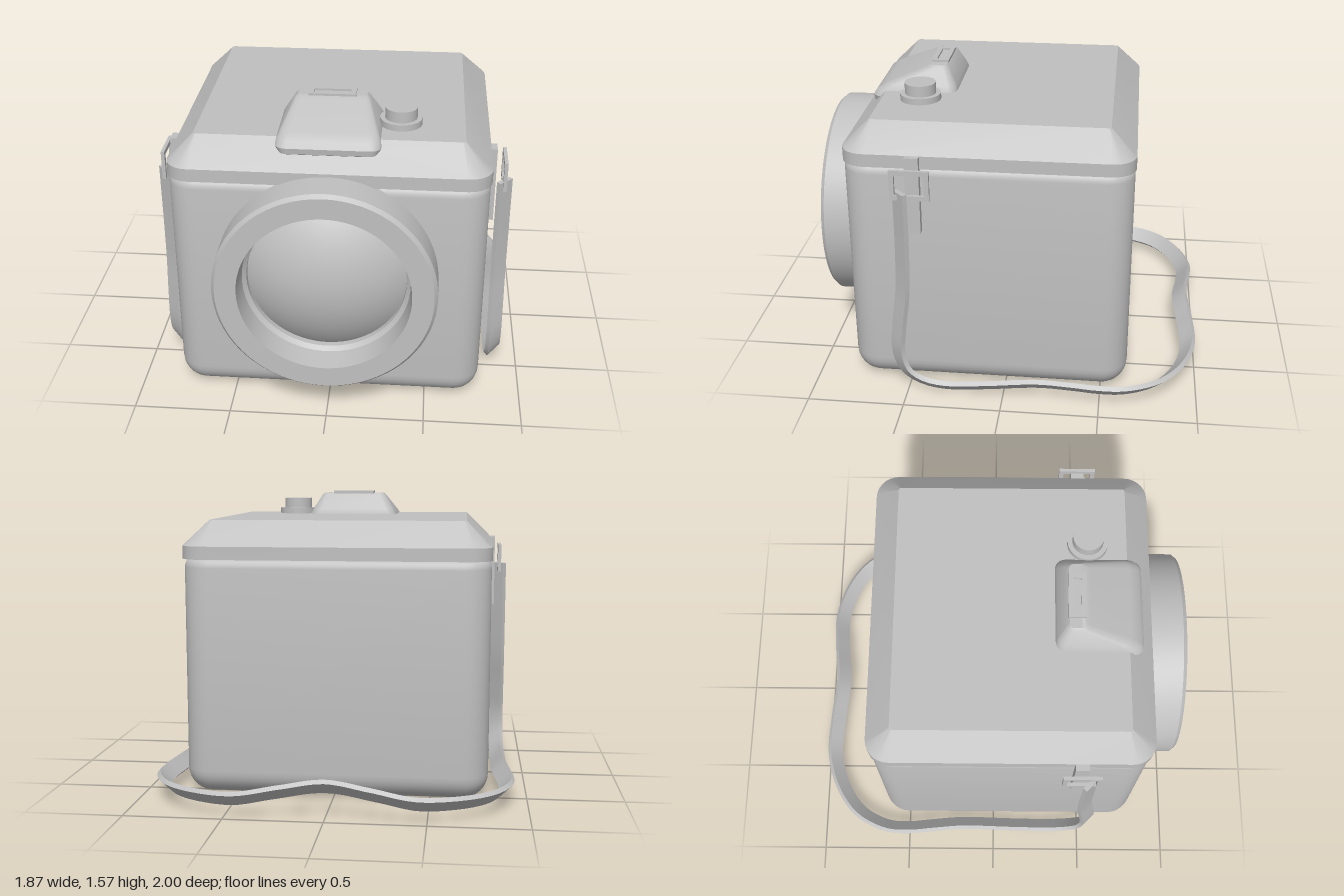
import * as THREE from 'three';
import { toCreasedNormals } from 'three/addons/utils/BufferGeometryUtils.js';

const grey = new THREE.MeshStandardMaterial({ color: 0xc0c0c0 });
grey.name = 'plain grey';

function add(parent, name, geometry, x = 0, y = 0, z = 0) {
  const mesh = new THREE.Mesh(geometry, grey);
  mesh.name = name;
  mesh.position.set(x, y, z);
  parent.add(mesh);
  return mesh;
}

// Closed solid through rounded rectangles, each [y, x0, x1, z0, z1, radius]
function loft(rings, crease = 0.5) {
  const seg = 7, n = 4 * (seg + 1), pos = [], idx = [];
  for (const [y, x0, x1, z0, z1, r] of rings) {
    const corners = [[x1 - r, z1 - r], [x0 + r, z1 - r], [x0 + r, z0 + r], [x1 - r, z0 + r]];
    corners.forEach(([cx, cz], q) => {
      for (let i = 0; i <= seg; i++) {
        const a = (q + i / seg) * Math.PI / 2;
        pos.push(cx + r * Math.cos(a), y, cz + r * Math.sin(a));
      }
    });
  }
  const last = (rings.length - 1) * n;
  for (let k = 0; k < last; k += n) {
    for (let i = 0; i < n; i++) {
      const a = k + i, b = k + (i + 1) % n;
      idx.push(a, a + n, b, b, a + n, b + n);
    }
  }
  for (let i = 1; i < n - 1; i++) {
    idx.push(0, i, i + 1, last, last + i + 1, last + i);
  }
  const g = new THREE.BufferGeometry();
  g.setAttribute('position', new THREE.Float32BufferAttribute(pos, 3));
  g.setIndex(idx);
  return toCreasedNormals(g, crease);
}

// Flat rectangular frame, extruded along z
function frame(w, h, bar, depth) {
  const rect = (path, a, b) => path.moveTo(-a, -b).lineTo(a, -b).lineTo(a, b).lineTo(-a, b).closePath();
  const shape = rect(new THREE.Shape(), w / 2, h / 2);
  shape.holes.push(rect(new THREE.Path(), w / 2 - bar, h / 2 - bar));
  return new THREE.ExtrudeGeometry(shape, { depth, bevelEnabled: false }).translate(0, 0, -depth / 2);
}

// Flat band following a path, leaning 45 degrees
function strapGeometry(curve, width, thick, steps) {
  const rows = [];
  for (let i = 0; i <= steps; i++) {
    const c = curve.getPointAt(i / steps), t = curve.getTangentAt(i / steps);
    const out = new THREE.Vector3(-t.z - t.y, 0, t.x);
    out.addScaledVector(t, -out.dot(t)).normalize();
    const under = new THREE.Vector3().crossVectors(t, out);
    const b = out.clone().sub(under).multiplyScalar(width / 2 / Math.SQRT2);
    const n = out.clone().add(under).multiplyScalar(thick / 2 / Math.SQRT2);
    rows.push([[1, 1], [-1, 1], [-1, -1], [1, -1]].map(([p, q]) =>
      c.clone().addScaledVector(b, p).addScaledVector(n, q)));
  }
  const pos = [];
  const quad = (a, b, c, d) => [a, b, c, a, c, d].forEach(v => pos.push(v.x, v.y, v.z));
  for (let i = 0; i < steps; i++) {
    for (let s = 0; s < 4; s++) {
      const e = (s + 1) % 4;
      quad(rows[i][s], rows[i][e], rows[i + 1][e], rows[i + 1][s]);
    }
  }
  const [a, z] = [rows[0], rows[steps]];
  quad(a[3], a[2], a[1], a[0]);
  quad(z[0], z[1], z[2], z[3]);
  const g = new THREE.BufferGeometry();
  g.setAttribute('position', new THREE.Float32BufferAttribute(pos, 3));
  // Make the faces point away from the centre line
  const centre = rows[0].reduce((s, v) => s.add(v), new THREE.Vector3()).divideScalar(4);
  const normal = new THREE.Triangle(rows[0][0], rows[0][1], rows[1][1]).getNormal(new THREE.Vector3());
  if (normal.dot(rows[0][0].clone().sub(centre)) < 0) {
    const p = g.attributes.position;
    for (let i = 0; i < p.count; i += 3) {
      const v1 = new THREE.Vector3().fromBufferAttribute(p, i + 1);
      const v2 = new THREE.Vector3().fromBufferAttribute(p, i + 2);
      p.setXYZ(i + 1, v2.x, v2.y, v2.z);
      p.setXYZ(i + 2, v1.x, v1.y, v1.z);
    }
  }
  return toCreasedNormals(g, 0.6);
}

export function createModel() {
  const model = new THREE.Group();
  model.name = 'cameraShapedBox';
  const cx = -0.008;

  // Body: rounded box with a soft bottom edge and a tighter top edge
  const bodyRing = (y, inset) =>
    [y, -0.798 + inset, 0.782 - inset, -0.635 + inset, 0.81 - inset, Math.max(0.135 - inset, 0.008)];
  const bodyRings = [];
  for (let i = 0; i <= 8; i++) {
    const a = i / 8 * Math.PI / 2;
    bodyRings.push(bodyRing(0.01 + 0.13 * (1 - Math.sin(a)) , 0.13 * (1 - Math.cos(a))));
  }
  bodyRings.reverse();
  bodyRings.sort((p, q) => p[0] - q[0]);
  for (let i = 0; i <= 5; i++) {
    const a = i / 5 * Math.PI / 2;
    bodyRings.push(bodyRing(1.2 + 0.05 * Math.sin(a), 0.05 * (1 - Math.cos(a))));
  }
  add(model, 'body', loft(bodyRings));

  // Lid: straight band, then a bevel up to the flat top
  add(model, 'lid', loft([
    [1.243, -0.802, 0.788, -0.64, 0.812, 0.12],
    [1.31, -0.802, 0.788, -0.64, 0.812, 0.12],
    [1.44, -0.67, 0.652, -0.51, 0.68, 0.015],
  ]));

  // Lens barrel and domed glass
  const barrel = [[0.555, 0.78], [0.555, 0.98], [0.538, 1], [0.43, 1], [0.42, 0.87], [0.4, 0.85], [0.4, 0.79]]
    .map(([r, y]) => new THREE.Vector2(r, y));
  add(model, 'lensBarrel',
    toCreasedNormals(new THREE.LatheGeometry(barrel, 72).rotateX(Math.PI / 2), 0.4), cx, 0.74, 0);
  const R = 0.65, angle = Math.asin(0.41 / R);
  add(model, 'lensGlass',
    new THREE.SphereGeometry(R, 64, 16, 0, Math.PI * 2, 0, angle).rotateX(Math.PI / 2),
    cx, 0.74, 0.81 - R * Math.cos(angle));

  // Viewfinder hump with its top slot
  add(model, 'viewfinderHump', loft([
    [1.365, -0.235, 0.22, 0.33, 0.73, 0.04],
    [1.38, -0.255, 0.24, 0.315, 0.75, 0.05],
    [1.41, -0.266, 0.25, 0.305, 0.754, 0.055],
    [1.44, -0.26, 0.244, 0.308, 0.735, 0.055],
    [1.47, -0.243, 0.227, 0.318, 0.685, 0.05],
    [1.552, -0.193, 0.177, 0.36, 0.478, 0.035],
    [1.563, -0.18, 0.164, 0.372, 0.456, 0.025],
  ], 0.6));
  add(model, 'slotFrame', frame(0.235, 0.09, 0.025, 0.016).rotateX(-Math.PI / 2), cx, 1.566, 0.412);

  // Shutter button
  add(model, 'buttonBase', new THREE.CylinderGeometry(0.105, 0.105, 0.04, 40), 0.335, 1.453, 0.478);
  add(model, 'buttonCap', new THREE.CylinderGeometry(0.08, 0.08, 0.08, 40), 0.335, 1.49, 0.478);

  // Strap holders on both sides
  for (const side of [-1, 1]) {
    add(model, 'strapTab', new THREE.BoxGeometry(0.045, 0.4, 0.07), cx + side * 0.804, 1.11, 0.443);
    add(model, 'strapBuckle', frame(0.195, 0.155, 0.024, 0.018).rotateY(Math.PI / 2),
      side * 0.862, 1.188, 0.447);
  }

  // Strap: down the side, back along the ground and round behind
  const half = [
    [0.863, 1.15, 0.497], [0.863, 0.85, 0.497], [0.863, 0.6, 0.505], [0.863, 0.4, 0.53],
    [0.863, 0.24, 0.54], [0.863, 0.13, 0.505], [0.863, 0.07, 0.42], [0.863, 0.047, 0.3],
    [0.863, 0.06, 0.1], [0.863, 0.09, -0.18], [0.879, 0.095, -0.36], [0.892, 0.095, -0.5],
    [0.882, 0.095, -0.63], [0.8, 0.095, -0.79], [0.65, 0.095, -0.9], [0.45, 0.1, -0.96],
    [0.24, 0.135, -0.95],
  ].map(p => new THREE.Vector3(...p));
  const mirrored = half.map(p => new THREE.Vector3(-p.x, p.y, p.z)).reverse();
  const path = new THREE.CatmullRomCurve3([...half, new THREE.Vector3(0, 0.165, -0.925), ...mirrored]);
  path.arcLengthDivisions = 800;
  add(model, 'strap', strapGeometry(path, 0.09, 0.025, 160));

  return model;
}
